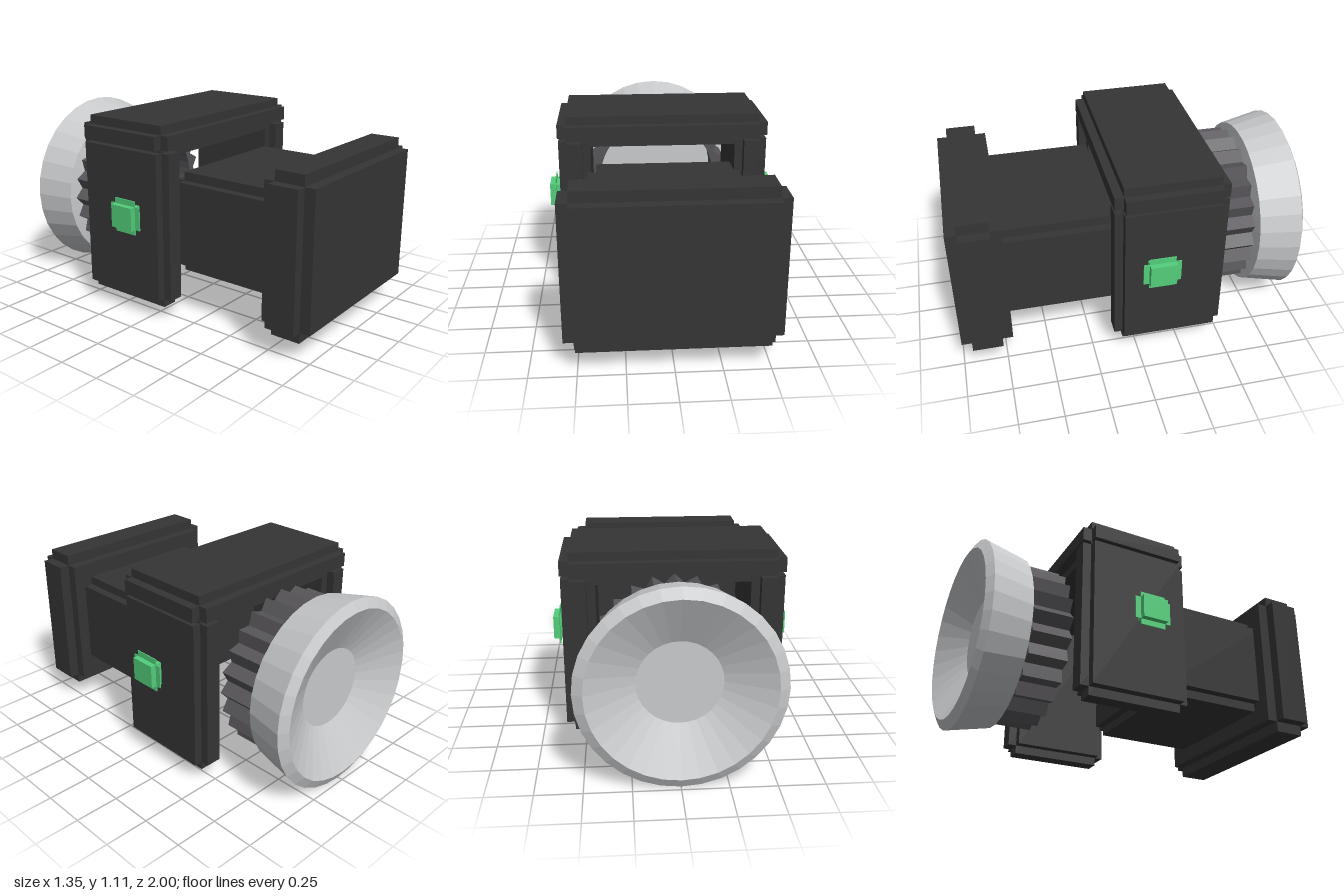
import * as THREE from 'three';

const material = (name, color, flatShading = false) => {
  const m = new THREE.MeshStandardMaterial({ color, flatShading });
  m.name = name;
  return m;
};

// Block with stepped edges: three overlapping boxes, each full size along one axis only
function steppedBlock(name, mat, [x0, x1], [y0, y1], [z0, z1], inset) {
  const group = new THREE.Group();
  group.name = name;
  const size = [x1 - x0, y1 - y0, z1 - z0];
  ['Sides', 'TopAndBottom', 'FrontAndBack'].forEach((label, axis) => {
    const dims = size.map((s, i) => (i === axis ? s : s - 2 * inset));
    const mesh = new THREE.Mesh(new THREE.BoxGeometry(...dims), mat);
    mesh.name = name + label;
    mesh.position.set((x0 + x1) / 2, (y0 + y1) / 2, (z0 + z1) / 2);
    group.add(mesh);
  });
  return group;
}

export function createModel() {
  const model = new THREE.Group();
  model.name = 'model';
  const black = material('matte black', 0x353535);
  const charcoal = material('charcoal', 0x575559, true);
  const silver = material('silver', 0xc9cbcd, true);
  const green = material('green', 0x53cf7b);

  // Front plate and the neck behind it
  model.add(steppedBlock('frontPlate', black, [-0.57, 0.57], [0.1, 0.98], [0.71, 1], 0.06));
  model.add(steppedBlock('neck', black, [-0.44, 0.44], [0.25, 0.83], [0.05, 0.8], 0.05));

  // Arch: top beam on two side pillars, a button on each pillar
  model.add(steppedBlock('topBeam', black, [-0.61, 0.61], [0.93, 1.11], [-0.5, 0.13], 0.05));
  for (const [side, s] of [['left', 1], ['right', -1]]) {
    const spanX = (a, b) => (s > 0 ? [a, b] : [-b, -a]);
    model.add(steppedBlock(side + 'Pillar', black, spanX(0.42, 0.605), [0.07, 1.01], [-0.5, 0.13], 0.048));
    model.add(steppedBlock(side + 'Button', green, spanX(0.605, 0.675), [0.495, 0.69], [-0.225, -0.013], 0.032));
  }

  // Toothed ring
  const teeth = 24;
  const star = new THREE.Shape();
  for (let i = 0; i < teeth * 2; i++) {
    const a = -Math.PI / 2 + (i * Math.PI) / teeth;
    const r = i % 2 ? 0.41 : 0.46;
    star[i ? 'lineTo' : 'moveTo'](r * Math.cos(a), r * Math.sin(a));
  }
  star.closePath();
  star.holes.push(new THREE.Path().absarc(0, 0, 0.375, 0, Math.PI * 2, true));
  const ring = new THREE.Mesh(
    new THREE.ExtrudeGeometry(star, { depth: 0.22, bevelEnabled: false, curveSegments: 24 }), charcoal);
  ring.name = 'toothedRing';
  ring.position.set(0, 0.54, -0.72);
  model.add(ring);

  // Flared dish at the back: closed rear, rim, inner cone and flat centre
  const profile = [[0, 0.72], [0.38, 0.72], [0.49, 0.74], [0.54, 0.97], [0.485, 1], [0.225, 0.87], [0, 0.87]]
    .map(([r, d]) => new THREE.Vector2(r, d));
  const dish = new THREE.Mesh(new THREE.LatheGeometry(profile, 32), silver);
  dish.name = 'dish';
  dish.rotation.x = -Math.PI / 2;
  dish.position.y = 0.54;
  model.add(dish);

  return model;
}
